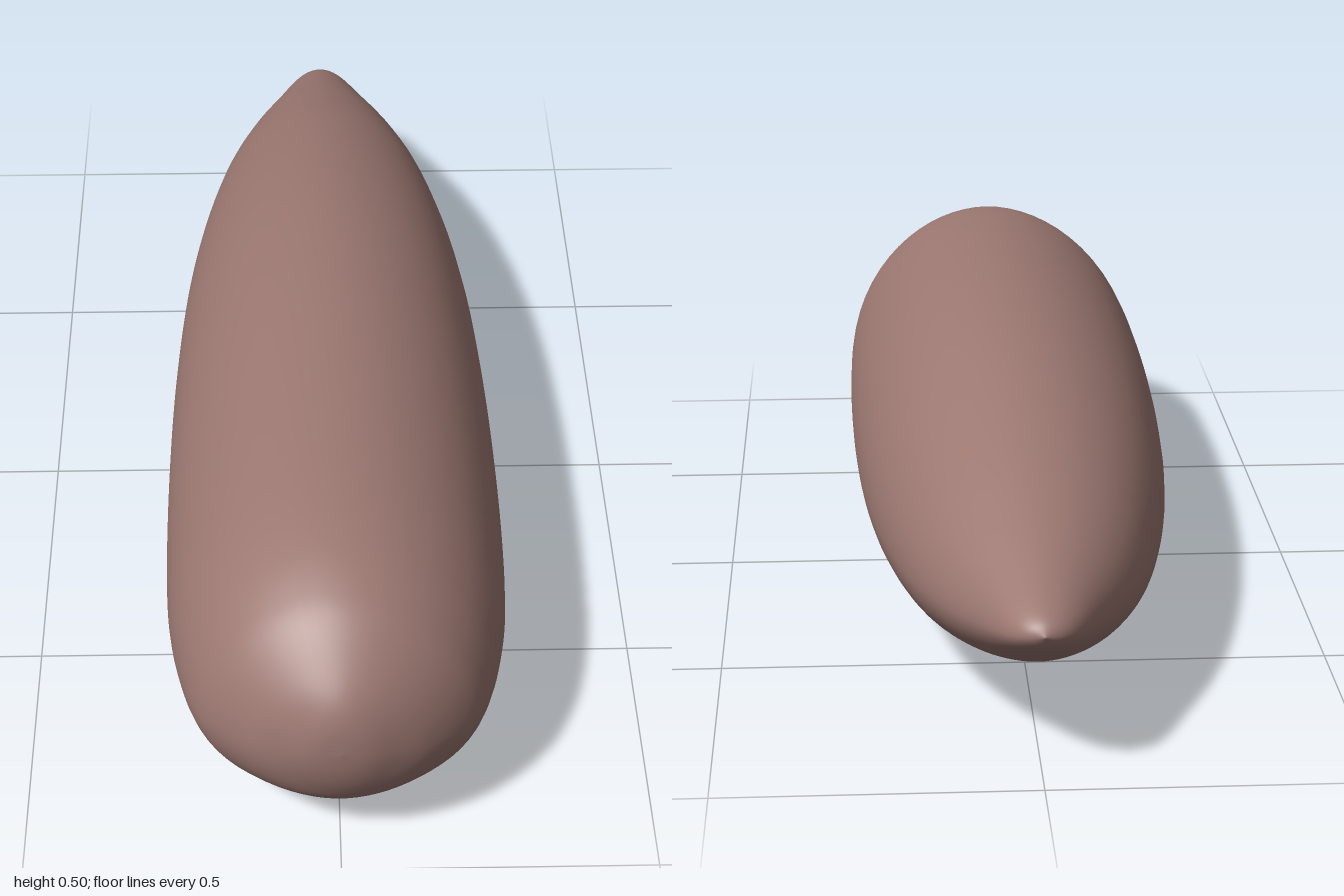
import * as THREE from 'three';
import { mergeVertices } from 'three/addons/utils/BufferGeometryUtils.js';

// Stations along the body: z, half width, top y, bottom y
const STATIONS = [
  [1.0, 0, 0.25, 0.25],
  [0.995, 0.042, 0.297, 0.205],
  [0.98, 0.082, 0.335, 0.158],
  [0.95, 0.138, 0.373, 0.108],
  [0.9, 0.195, 0.42, 0.064],
  [0.85, 0.229, 0.45, 0.034],
  [0.77, 0.255, 0.475, 0.023],
  [0.65, 0.273, 0.49, 0.014],
  [0.45, 0.28, 0.498, 0.005],
  [0.2, 0.279, 0.499, 0.002],
  [0.0, 0.273, 0.492, 0.002],
  [-0.2, 0.261, 0.475, 0.01],
  [-0.4, 0.238, 0.443, 0.03],
  [-0.6, 0.2, 0.397, 0.066],
  [-0.75, 0.153, 0.351, 0.108],
  [-0.87, 0.099, 0.31, 0.155],
  [-0.95, 0.06, 0.281, 0.197],
  [-0.985, 0.032, 0.264, 0.223],
  [-1.0, 0, 0.245, 0.245],
];
const RINGS = 144, SIDES = 64;
const WAIST = 0.425; // height fraction of the widest point
const POWER = 2 / 1.92; // cross-section slightly fuller than a diamond, just under an ellipse

function createBodyGeometry() {
  const curve = (k) => new THREE.SplineCurve(STATIONS.map((s) => new THREE.Vector2(s[0], s[k])));
  const [width, top, bottom] = [1, 2, 3].map(curve);
  const bend = (v) => Math.sign(v) * Math.abs(v) ** POWER;
  const positions = [], indices = [];

  for (let i = 0; i <= RINGS; i++) {
    const t = i / RINGS;
    const { x: z, y: w } = width.getPoint(t);
    const hi = top.getPoint(t).y, lo = bottom.getPoint(t).y;
    const mid = lo + (hi - lo) * WAIST;
    for (let j = 0; j < SIDES; j++) {
      const a = (j / SIDES) * Math.PI * 2;
      const s = bend(Math.sin(a));
      positions.push(w * bend(Math.cos(a)), mid + s * (s > 0 ? hi - mid : mid - lo), z);
    }
  }
  for (let i = 0; i < RINGS; i++) {
    for (let j = 0; j < SIDES; j++) {
      const a = i * SIDES + j, b = i * SIDES + ((j + 1) % SIDES);
      const c = a + SIDES, d = b + SIDES;
      indices.push(a, c, b, b, c, d);
    }
  }
  let geometry = new THREE.BufferGeometry();
  geometry.setAttribute('position', new THREE.Float32BufferAttribute(positions, 3));
  geometry.setIndex(indices);
  geometry = mergeVertices(geometry, 1e-5); // close both tips
  geometry.computeVertexNormals();
  return geometry;
}

export function createModel() {
  const group = new THREE.Group();
  group.name = 'taperedPod';
  // Single smooth body, blunt in front and pointed behind
  const body = new THREE.Mesh(createBodyGeometry(), new THREE.MeshStandardMaterial({ color: 0x9c7871 }));
  body.name = 'body';
  group.add(body);
  return group;
}
